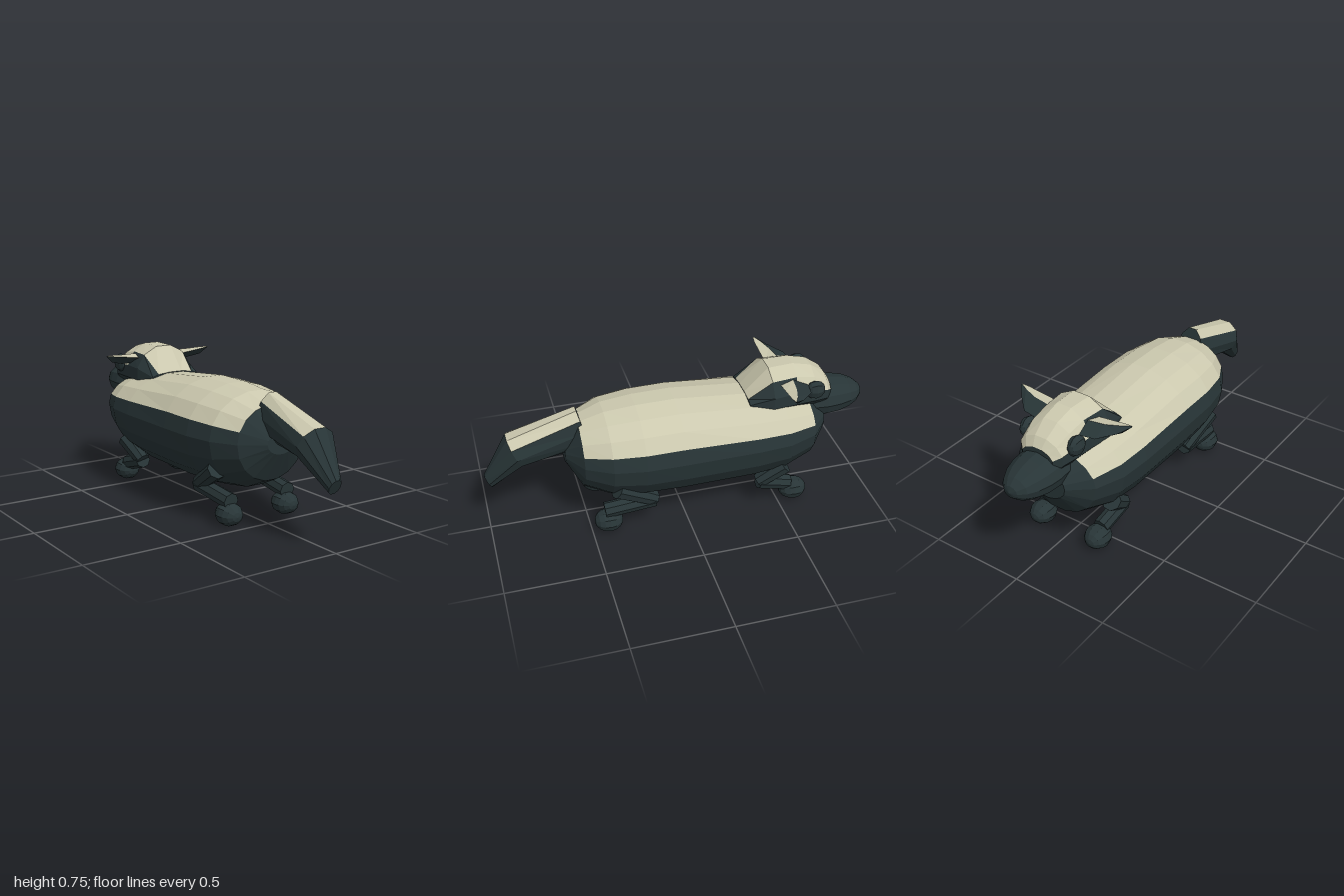
import * as THREE from 'three';

const cream = new THREE.MeshStandardMaterial({ color: 0xcbc8ae });
cream.name = 'cream fur';
const dark = new THREE.MeshStandardMaterial({ color: 0x283537 });
dark.name = 'dark fur';

// Faceted normals
function flat(geo) {
  const g = geo.index ? geo.toNonIndexed() : geo;
  g.computeVertexNormals();
  return g;
}

// Oval ring around the z axis, with separate heights above and below its centre
function oval({ z, y, rx, up, down, tilt = 0 }, sides, offset = 0) {
  const pts = [];
  for (let j = 0; j < sides; j++) {
    const a = ((j + offset) / sides) * Math.PI * 2;
    const h = Math.sin(a) * (Math.sin(a) > 0 ? up : down);
    pts.push(new THREE.Vector3(rx * Math.cos(a), y + h * Math.cos(tilt), z + h * Math.sin(tilt)));
  }
  return pts;
}

// Skin over rings with closed ends; isCream(ring, side) picks the colour of a facet
function loft(name, rings, isCream) {
  const creamTris = [], darkTris = [];
  const n = rings[0].length;
  const middle = (r) => r.reduce((s, p) => s.add(p), new THREE.Vector3()).divideScalar(n);
  const first = rings[0], last = rings[rings.length - 1];
  const c0 = middle(first), c1 = middle(last);
  for (let j = 0; j < n; j++) {
    const k = (j + 1) % n;
    for (let i = 0; i < rings.length - 1; i++) {
      const a = rings[i], b = rings[i + 1];
      (isCream(i, j) ? creamTris : darkTris).push(a[j], a[k], b[k], a[j], b[k], b[j]);
    }
    darkTris.push(c0, first[k], first[j], c1, last[j], last[k]);
  }
  const geo = new THREE.BufferGeometry().setFromPoints([...creamTris, ...darkTris]);
  geo.addGroup(0, creamTris.length, 0);
  geo.addGroup(creamTris.length, darkTris.length, 1);
  const mesh = new THREE.Mesh(flat(geo), [cream, dark]);
  mesh.name = name;
  return mesh;
}

// Faceted ellipsoid with its poles on the z axis
function ball(name, pos, radii, w = 10, h = 8) {
  const geo = new THREE.SphereGeometry(1, w, h).rotateX(Math.PI / 2).scale(...radii);
  const mesh = new THREE.Mesh(flat(geo), dark);
  mesh.name = name;
  mesh.position.set(...pos);
  return mesh;
}

// Straight limb segment between two points
function limb(name, from, to, r0, r1) {
  const a = new THREE.Vector3(...from), b = new THREE.Vector3(...to);
  const dir = b.clone().sub(a);
  const mesh = new THREE.Mesh(flat(new THREE.CylinderGeometry(r1, r0, dir.length(), 8)), dark);
  mesh.name = name;
  mesh.position.copy(a).add(b).multiplyScalar(0.5);
  mesh.quaternion.setFromUnitVectors(new THREE.Vector3(0, 1, 0), dir.normalize());
  return mesh;
}

export function createModel() {
  const model = new THREE.Group();
  model.name = 'animal';

  // Barrel body: z, half width, top, bottom
  const bodyRings = [
    [-0.76, 0.12, 0.5, 0.34], [-0.67, 0.23, 0.57, 0.21], [-0.52, 0.285, 0.61, 0.155],
    [-0.35, 0.297, 0.625, 0.135], [0.03, 0.299, 0.662, 0.13], [0.23, 0.297, 0.66, 0.14],
    [0.39, 0.27, 0.645, 0.165], [0.52, 0.2, 0.6, 0.225], [0.595, 0.08, 0.48, 0.37],
  ].map(([z, rx, top, bottom]) => oval({ z, y: 0.425, rx, up: top - 0.425, down: 0.425 - bottom }, 18));
  model.add(loft('body', bodyRings, (i, j) => i >= 1 && i <= 6 && j >= 1 && j <= 7));

  // Head and nape: z, centre y, half width, top
  const headRings = [
    [-0.795, 0.58, 0.09, 0.635], [-0.765, 0.59, 0.125, 0.68], [-0.69, 0.6, 0.148, 0.733],
    [-0.59, 0.6, 0.155, 0.76], [-0.46, 0.6, 0.172, 0.757], [-0.34, 0.6, 0.145, 0.628],
  ].map(([z, y, rx, top]) => oval({ z, y, rx, up: top - y, down: 0.1 }, 12, 0.5));
  model.add(loft('head', headRings, (i, j) => (i < 3 ? j <= 4 : j >= 1 && j <= 3)));
  model.add(ball('snout', [0, 0.51, -0.78], [0.125, 0.102, 0.22], 12, 10));

  // Bent tail with a cream upper side
  const tailRings = [
    { z: 0.49, y: 0.55, rx: 0.072, up: 0.115, down: 0.115, tilt: 0.27 },
    { z: 0.835, y: 0.47, rx: 0.104, up: 0.092, down: 0.09, tilt: 0.42 },
    { z: 0.98, y: 0.303, rx: 0.034, up: 0.042, down: 0.04, tilt: 0.46 },
  ].map((r) => oval(r, 10));
  model.add(loft('tail', tailRings, (i, j) => i === 0 && j >= 1 && j <= 3));

  for (const s of [1, -1]) {
    const side = s > 0 ? 'left' : 'right';

    // Leaf shaped ear: front, top, back and bottom corner of each ring
    const earRings = [
      [[0.11, 0.67, -0.65], [0.11, 0.705, -0.57], [0.11, 0.69, -0.5], [0.11, 0.655, -0.57]],
      [[0.205, 0.672, -0.635], [0.205, 0.707, -0.555], [0.2, 0.7, -0.5], [0.205, 0.656, -0.56]],
      [[0.28, 0.69, -0.565], [0.28, 0.714, -0.53], [0.28, 0.71, -0.5], [0.28, 0.675, -0.53]],
      [[0.322, 0.714, -0.515], [0.32, 0.717, -0.51], [0.32, 0.715, -0.505], [0.32, 0.71, -0.51]],
    ].map((ring) => {
      const pts = ring.map(([x, y, z]) => new THREE.Vector3(s * x, y, z));
      return s > 0 ? pts : pts.reverse();
    });
    model.add(loft(side + 'Ear', earRings, (i, j) => j === 1));
    model.add(ball(side + 'Eye', [s * 0.138, 0.64, -0.685], [0.036, 0.052, 0.052], 8, 6));

    // Folded legs with round paws: hip, knee, ankle, paw
    const legs = {
      FrontLeg: [[0.205, 0.25, -0.52], [0.18, 0.15, -0.39], [0.17, 0.1, -0.56], -0.585],
      HindLeg: [[0.21, 0.28, 0.37], [0.18, 0.155, 0.17], [0.17, 0.125, 0.43], 0.412],
    };
    for (const [label, [hip, knee, ankle, pawZ]] of Object.entries(legs)) {
      const at = ([x, y, z]) => [s * x, y, z];
      const leg = new THREE.Group();
      leg.name = side + label;
      leg.add(
        limb('thigh', at(hip), at(knee), 0.05, 0.04),
        limb('shin', at(knee), at(ankle), 0.042, 0.042),
        ball('paw', [s * 0.17, 0.0595, pawZ], [0.067, 0.0595, 0.074]),
      );
      model.add(leg);
    }
  }
  return model;
}
